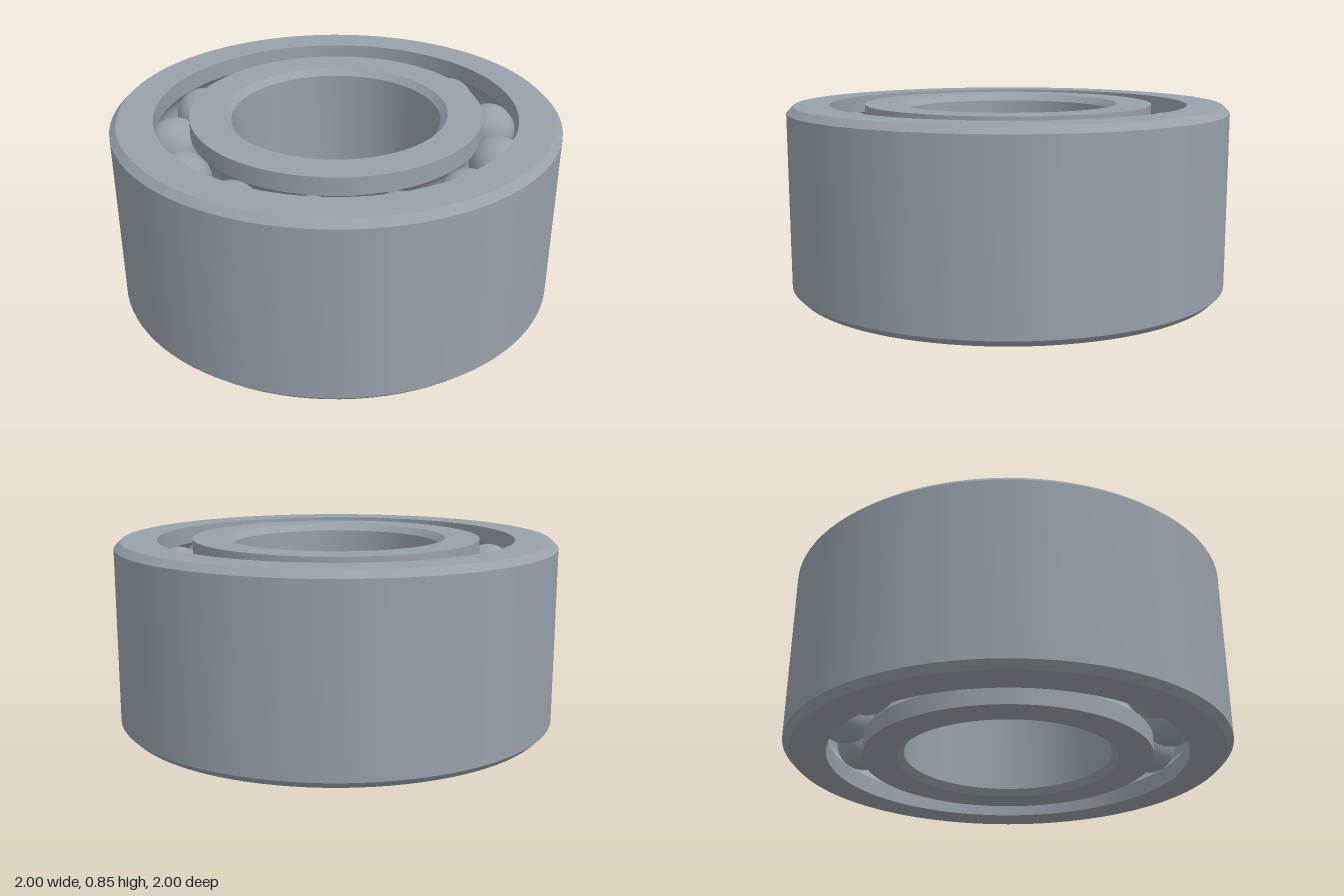
import * as THREE from 'three';
import { toCreasedNormals } from 'three/addons/utils/BufferGeometryUtils.js';

const H = 0.845;               // bearing width
const C = 0.03;                // chamfer
const PITCH = 0.733;           // radius of the ball circle
const BALL = 0.125;
const ROWS = [0.18, H - 0.18]; // heights of the two ball rows
const COUNT = 13;

// Arc of a raceway groove cut into a shoulder; side is +1 outer ring, -1 inner ring
function groove(shoulder, y, side) {
  const r = BALL + 0.001, n = 12, pts = [];
  const half = Math.acos(Math.abs(shoulder - PITCH) / r);
  for (let i = 0; i <= n; i++) {
    const t = side * half * (1 - 2 * i / n);
    pts.push([PITCH + side * r * Math.cos(t), y + r * Math.sin(t)]);
  }
  return pts;
}

export function createModel() {
  const group = new THREE.Group();
  group.name = 'ballBearing';
  const steel = new THREE.MeshStandardMaterial({ color: 0x98a0aa });
  steel.name = 'steel';

  // Closed ring turned from a counter-clockwise profile
  function ring(name, profile) {
    const pts = [...profile, profile[0]].map(([r, y]) => new THREE.Vector2(r, y));
    const mesh = new THREE.Mesh(toCreasedNormals(new THREE.LatheGeometry(pts, 96), 0.45), steel);
    mesh.name = name;
    group.add(mesh);
  }

  // Outer ring: chamfered outside, two grooves down the bore
  const outerBore = 0.81;
  ring('outerRing', [
    [1 - C, 0], [1, C], [1, H - C], [1 - C, H], [outerBore, H],
    ...groove(outerBore, ROWS[1], 1),
    ...groove(outerBore, ROWS[0], 1),
    [outerBore, 0],
  ]);

  // Inner ring: two grooves up the outside, chamfered bore
  const innerWall = 0.653, bore = 0.468;
  ring('innerRing', [
    [innerWall, 0],
    ...groove(innerWall, ROWS[0], -1),
    ...groove(innerWall, ROWS[1], -1),
    [innerWall, H], [bore + C, H], [bore, H - C], [bore, C], [bore + C, 0],
  ]);

  // Two aligned rows of balls
  const ballGeometry = new THREE.SphereGeometry(BALL, 32, 20);
  ROWS.forEach((y, row) => {
    const balls = new THREE.Group();
    balls.name = row ? 'upperBallRow' : 'lowerBallRow';
    for (let i = 0; i < COUNT; i++) {
      const a = THREE.MathUtils.degToRad(12) + i * 2 * Math.PI / COUNT;
      const ball = new THREE.Mesh(ballGeometry, steel);
      ball.name = 'ball';
      ball.position.set(PITCH * Math.cos(a), y, PITCH * Math.sin(a));
      balls.add(ball);
    }
    group.add(balls);
  });

  return group;
}
